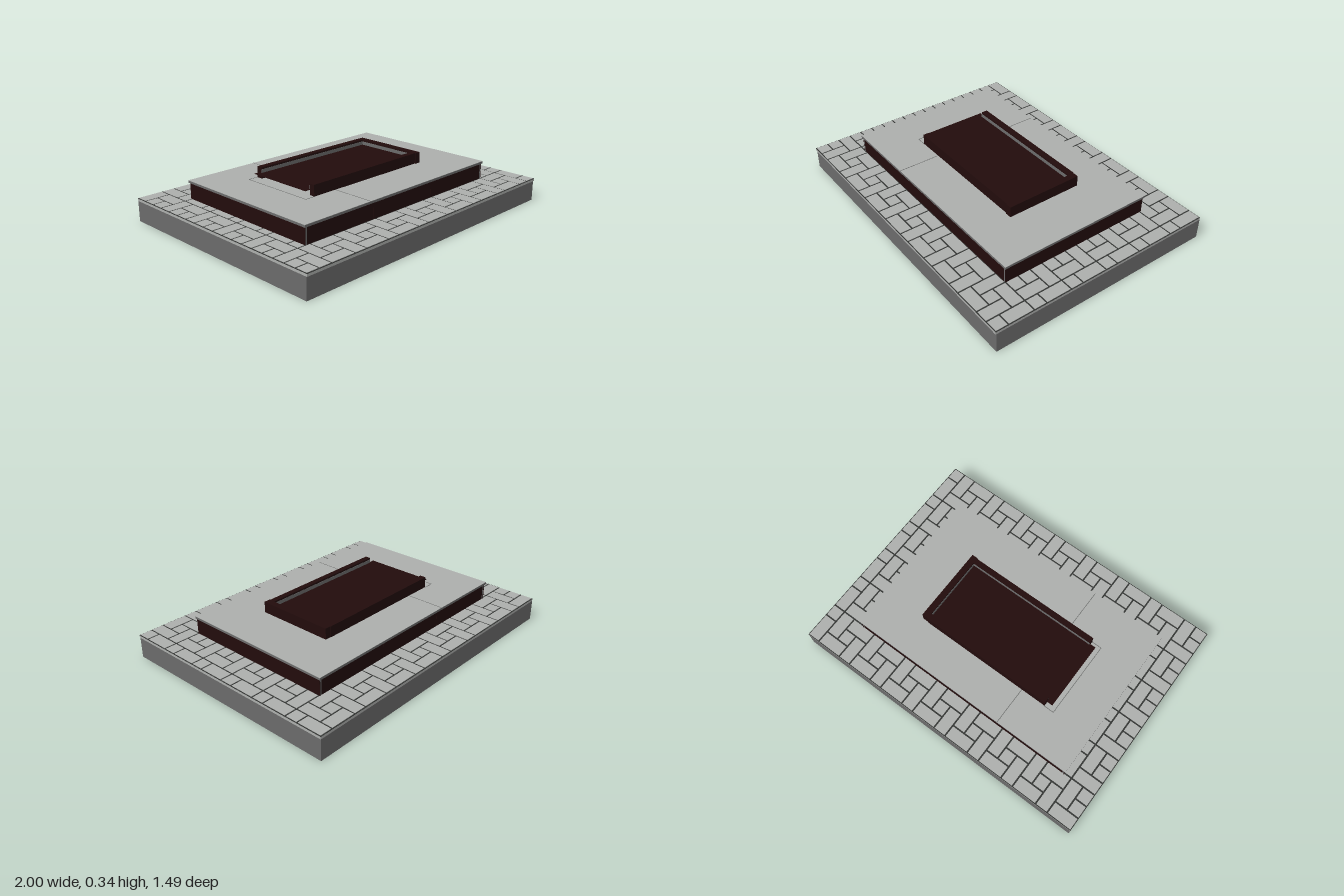
import * as THREE from 'three';

export function createModel() {
  const mat = (name, color) => {
    const m = new THREE.MeshStandardMaterial({ color });
    m.name = name;
    return m;
  };
  const stone = mat('light stone', 0xadafad);
  const concrete = mat('dark grey concrete', 0x6b6b6b);
  const joint = mat('paving joint', 0x343634);
  const maroon = mat('dark maroon', 0x220c0c);
  const seam = mat('slab seam', 0x6e706e);

  const model = new THREE.Group();
  model.name = 'steppedPlinth';
  const group = (name) => {
    const g = new THREE.Group();
    g.name = name;
    model.add(g);
    return g;
  };
  // Box given by its lower and upper limits on each axis
  const box = (parent, name, material, x0, x1, y0, y1, z0, z1) => {
    const geo = new THREE.BoxGeometry(x1 - x0, y1 - y0, z1 - z0);
    const mesh = new THREE.Mesh(geo, material);
    mesh.position.set((x0 + x1) / 2, (y0 + y1) / 2, (z0 + z1) / 2);
    mesh.name = name;
    parent.add(mesh);
    return mesh;
  };

  // Foundation and the paving bed on it
  const base = group('base');
  box(base, 'foundation', concrete, -1, 1, 0, 0.13, -0.745, 0.74);
  box(base, 'pavingBed', stone, -1, 1, 0.13, 0.145, -0.745, 0.745);
  box(base, 'pavingJoints', joint, -1, 1, 0.145, 0.1475, -0.745, 0.745);

  // Pinwheel paving on a 24 x 18 grid: [column, row, width, depth] per 3 x 3 repeat
  const paving = group('paving');
  const pattern = [[0, 0, 2, 1], [2, 0, 1, 2], [1, 1, 1, 2], [2, 2, 2, 1], [0, 1, 1, 1]];
  const cx = 2 / 24, cz = 1.49 / 18, gap = 0.005;
  for (let i = -1; i < 8; i++) {
    for (let j = 0; j < 6; j++) {
      for (const [c, r, w, d] of pattern) {
        const c0 = Math.max(0, i * 3 + c), c1 = Math.min(24, i * 3 + c + w);
        if (c1 <= c0) continue;
        const x0 = -1 + c0 * cx, x1 = -1 + c1 * cx;
        const z0 = -0.745 + (j * 3 + r) * cz, z1 = z0 + d * cz;
        // Leave out stones hidden below the plinth
        if (x0 > -0.76 && x1 < 0.73 && z0 > -0.49 && z1 < 0.49) continue;
        box(paving, 'paver', stone, x0 + gap, x1 - gap, 0.1475, 0.15, z0 + gap, z1 - gap);
      }
    }
  }

  // Plinth: concrete core showing at the corners, clad with dark panels
  const plinth = group('plinth');
  box(plinth, 'core', concrete, -0.78, 0.75, 0.15, 0.25, -0.495, 0.49);
  const edges = [-0.77, -0.27, 0.235, 0.74];
  for (let i = 0; i < 3; i++) {
    const a = edges[i] + 0.001, b = edges[i + 1] - 0.001;
    box(plinth, 'frontPanel', maroon, a, b, 0.15, 0.25, 0.49, 0.498);
    box(plinth, 'backPanel', maroon, a, b, 0.15, 0.25, -0.503, -0.495);
  }
  for (const [a, b] of [[-0.784, -0.78], [0.75, 0.754]]) {
    box(plinth, 'sidePanel', maroon, a, b, 0.15, 0.25, -0.505, 0.498);
  }
  for (const [a, b] of [[-0.78, -0.77], [0.74, 0.75]]) {
    box(plinth, 'cornerStrip', concrete, a, b, 0.15, 0.25, -0.503, 0.498);
  }

  // Cover slab with a light top and fine seams
  const cover = group('coverSlab');
  box(cover, 'slab', concrete, -0.79, 0.76, 0.25, 0.264, -0.512, 0.505);
  box(cover, 'slabTop', stone, -0.79, 0.76, 0.264, 0.266, -0.512, 0.505);
  const line = (x0, x1, z0, z1) => box(cover, 'seam', seam, x0, x1, 0.266, 0.2668, z0, z1);
  line(-0.302, -0.298, -0.512, 0.505);
  line(-0.532, -0.528, -0.267, 0.23);
  line(-0.53, -0.46, -0.269, -0.265);
  line(-0.53, -0.46, 0.228, 0.232);

  // Raised tray: three walls, open toward -x
  const tray = group('tray');
  box(tray, 'backWall', maroon, -0.465, 0.41, 0.266, 0.335, -0.265, -0.225);
  box(tray, 'frontWall', maroon, -0.465, 0.41, 0.266, 0.335, 0.195, 0.23);
  box(tray, 'endWall', maroon, 0.41, 0.45, 0.266, 0.335, -0.262, 0.235);

  // Grey lining strips on the inside of the walls
  box(tray, 'backLining', concrete, -0.465, 0.41, 0.3, 0.324, -0.225, -0.223);
  box(tray, 'frontLining', concrete, -0.465, 0.41, 0.3, 0.324, 0.193, 0.195);
  box(tray, 'endLining', concrete, 0.408, 0.41, 0.3, 0.324, -0.223, 0.193);

  // Thin tray floor that runs out past the open end
  box(tray, 'trayFloor', maroon, -0.505, 0.41, 0.3, 0.302, -0.245, 0.2);

  return model;
}
